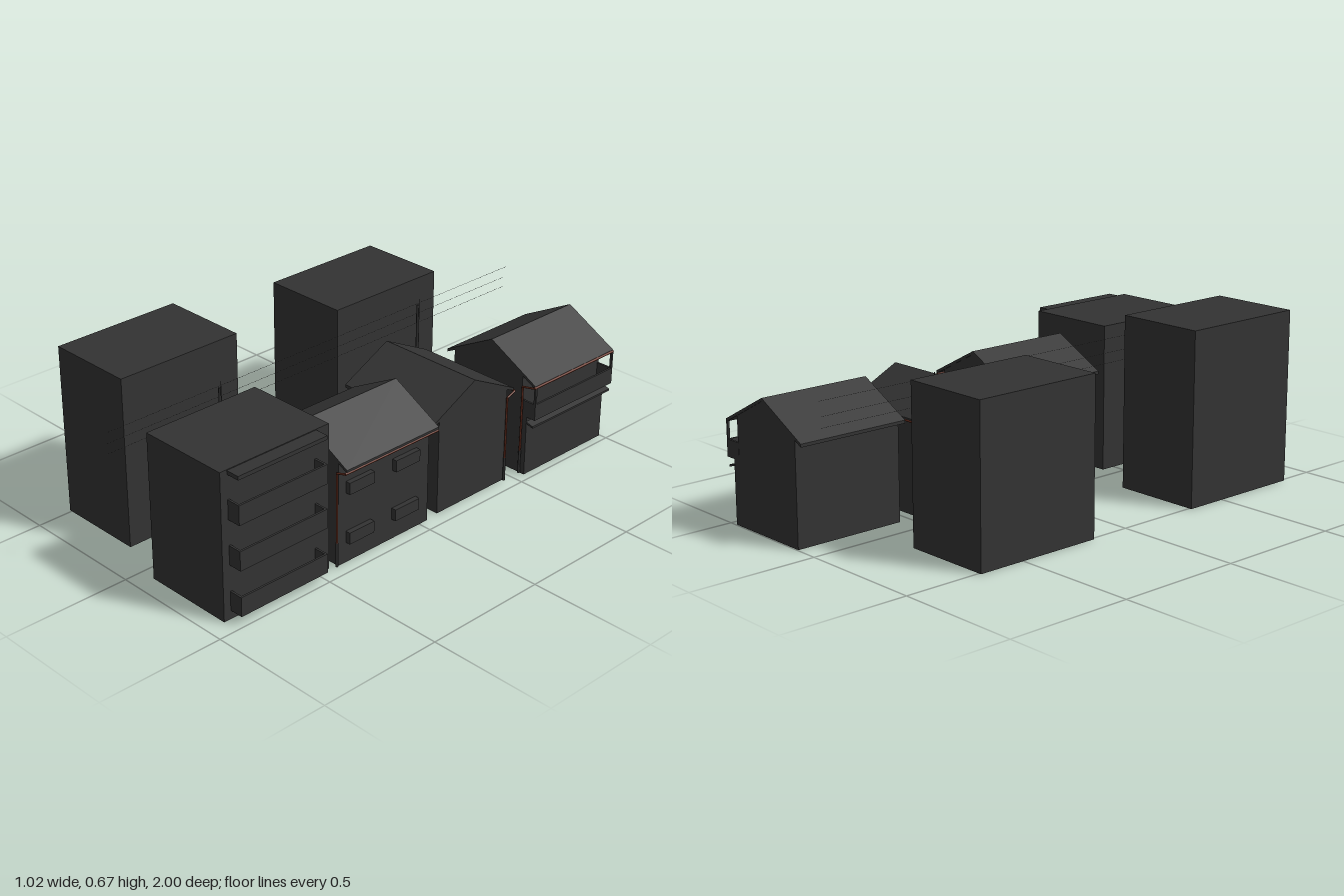
import * as THREE from 'three';

export function createModel() {
  const model = new THREE.Group();
  model.name = 'streetBlock';
  const concrete = new THREE.MeshStandardMaterial({ color: 0x333333, name: 'dark concrete', side: THREE.DoubleSide });
  const rust = new THREE.MeshStandardMaterial({ color: 0x642c1d, name: 'rust red gutter' });

  const add = (parent, name, geometry, material = concrete) => {
    const mesh = new THREE.Mesh(geometry, material);
    mesh.name = name;
    parent.add(mesh);
    return mesh;
  };
  const group = (name) => {
    const g = new THREE.Group();
    g.name = name;
    model.add(g);
    return g;
  };
  // box given by its limits on each axis
  const boxGeometry = ([x0, x1], [y0, y1], [z0, z1]) =>
    new THREE.BoxGeometry(x1 - x0, y1 - y0, z1 - z0)
      .translate((x0 + x1) / 2, (y0 + y1) / 2, (z0 + z1) / 2);
  const box = (parent, name, x, y, z) => add(parent, name, boxGeometry(x, y, z));
  // straight round bar between two points
  const bar = (parent, name, a, b, radius, material) => {
    const from = new THREE.Vector3(...a), to = new THREE.Vector3(...b);
    const dir = to.clone().sub(from);
    const mesh = add(parent, name, new THREE.CylinderGeometry(radius, radius, dir.length(), 8), material);
    mesh.position.copy(from).add(to).multiplyScalar(0.5);
    mesh.quaternion.setFromUnitVectors(new THREE.Vector3(0, 1, 0), dir.normalize());
  };
  const extrudeZ = (points, length) => new THREE.ExtrudeGeometry(
    new THREE.Shape(points.map(([x, y]) => new THREE.Vector2(x, y))),
    { depth: length, bevelEnabled: false }).translate(0, 0, -length / 2);
  // hollow shell: the same geometry without its ground face
  const withoutFloor = (geometry) => {
    const flat = geometry.index ? geometry.toNonIndexed() : geometry;
    const p = flat.attributes.position, kept = [];
    for (let i = 0; i < p.count; i += 3) {
      const onGround = [0, 1, 2].every((k) => Math.abs(p.getY(i + k)) < 1e-5);
      if (!onGround) for (let k = 0; k < 3; k++) kept.push(p.getX(i + k), p.getY(i + k), p.getZ(i + k));
    }
    const shell = new THREE.BufferGeometry();
    shell.setAttribute('position', new THREE.Float32BufferAttribute(kept, 3));
    shell.computeVertexNormals();
    return shell;
  };

  // gabled house centred on its ridge, ridge along local z;
  // an optional step sets the upper right wall back: [height, x]
  const house = (name, wallHalf, roofHalf, eave, ridge, length, step) => {
    const g = group(name), t = 0.012;
    const wallTop = (x) => ridge - t / 2 - (ridge - eave) * x / roofHalf;
    const rightSide = step
      ? [[wallHalf, step[0]], [step[1], step[0]], [step[1], wallTop(step[1])]]
      : [[wallHalf, wallTop(wallHalf)]];
    add(g, 'walls', withoutFloor(extrudeZ([[-wallHalf, 0], [wallHalf, 0], ...rightSide,
      [0, ridge - t / 2], [-wallHalf, wallTop(wallHalf)]], length - 0.004)));
    add(g, 'roof', extrudeZ([[-roofHalf, eave - t], [0, ridge - t], [roofHalf, eave - t],
      [roofHalf, eave], [0, ridge], [-roofHalf, eave]], length));
    return g;
  };

  // tall blocks behind
  const towers = group('towerBlocks');
  box(towers, 'frontTower', [-0.51, -0.155], [0, 0.67], [0.333, 0.855]);
  box(towers, 'backTower', [-0.51, -0.155], [0, 0.6], [-0.69, -0.165]);

  // apartment block with stacked balconies
  const flats = group('apartmentBlock');
  add(flats, 'flatsBody', withoutFloor(boxGeometry([0.062, 0.435], [0, 0.575], [0.442, 0.925])));
  box(flats, 'balconyCanopy', [0.434, 0.49], [0.557, 0.572], [0.5, 0.895]);
  for (const y of [0.034, 0.213, 0.387]) {
    box(flats, 'balconyFloor', [0.434, 0.49], [y, y + 0.012], [0.5, 0.895]);
    box(flats, 'balconyFront', [0.482, 0.49], [y, y + 0.076], [0.5, 0.895]);
    for (const z of [0.5, 0.887])
      box(flats, 'balconySide', [0.434, 0.49], [y, y + 0.076], [z, z + 0.008]);
  }

  // house with four window boxes
  const windowHouse = house('windowHouse', 0.17, 0.215, 0.403, 0.517, 0.452);
  windowHouse.position.set(0.276, 0, 0.184);
  for (const y of [0.081, 0.281])
    for (const z of [-0.1, 0.127])
      box(windowHouse, 'windowBox', [0.165, 0.19], [y, y + 0.046], [z - 0.06, z + 0.06]);

  // house turned with its gable to the street
  const gableHouse = house('gableHouse', 0.182, 0.216, 0.377, 0.485, 0.45);
  gableHouse.position.set(0.215, 0, -0.283);
  gableHouse.rotation.y = Math.PI / 2;

  // house with an upper loggia and a lower awning
  const loggiaHouse = house('loggiaHouse', 0.186, 0.223, 0.388, 0.506, 0.452, [0.25, 0.158]);
  loggiaHouse.position.set(0.282, 0, -0.772);
  box(loggiaHouse, 'loggiaFloor', [0.155, 0.226], [0.246, 0.256], [-0.225, 0.225]);
  box(loggiaHouse, 'loggiaFront', [0.218, 0.226], [0.246, 0.312], [-0.225, 0.225]);
  for (const z of [-0.225, 0.217]) {
    box(loggiaHouse, 'loggiaSide', [0.155, 0.226], [0.246, 0.312], [z, z + 0.008]);
    box(loggiaHouse, 'loggiaPost', [0.217, 0.226], [0.31, 0.383], [z, z + 0.008]);
  }
  add(loggiaHouse, 'awning', extrudeZ([[0.184, 0.22], [0.218, 0.21], [0.218, 0.218], [0.184, 0.228]], 0.45));

  // gutters and downpipes, each standing in a dark sleeve
  const drains = group('gutters');
  const downpipe = (x, top, z) => {
    bar(drains, 'downpipe', [x, 0.1, z], [x, top, z], 0.004, rust);
    bar(drains, 'pipeSleeve', [x, 0.003, z], [x, 0.1, z], 0.005);
  };
  const drain = (x, y, z0, z1) => {
    bar(drains, 'gutter', [x, y, z0], [x, y, z1], 0.005, rust);
    bar(drains, 'gutterElbow', [x, y, z1], [0.449, y - 0.012, z1], 0.004, rust);
    downpipe(0.449, y - 0.01, z1);
  };
  drain(0.489, 0.39, -0.04, 0.417);
  drain(0.505, 0.382, -0.997, -0.54);
  bar(drains, 'gableGutter', [-0.008, 0.367, -0.498], [0.447, 0.367, -0.498], 0.004, rust);
  bar(drains, 'gableElbow', [0.447, 0.367, -0.498], [0.447, 0.352, -0.457], 0.004, rust);
  downpipe(0.447, 0.354, -0.457);

  // utility poles and overhead wires
  const power = group('powerLine');
  for (const z of [0.5, -0.5]) {
    bar(power, 'pole', [-0.058, 0.015, z], [-0.058, 0.548, z], 0.006);
    bar(power, 'poleTip', [-0.052, 0.5, z], [-0.052, 0.575, z], 0.0015);
    bar(power, 'poleArm', [-0.063, 0.358, z], [-0.034, 0.358, z], 0.003);
    bar(power, 'transformer', [-0.04, 0.335, z], [-0.04, 0.366, z], 0.008);
  }
  for (const [x, y] of [[-0.064, 0.51], [-0.064, 0.47], [-0.051, 0.56]])
    bar(power, 'wire', [x, y, -1], [x, y, 1], 0.0005);

  return model;
}
